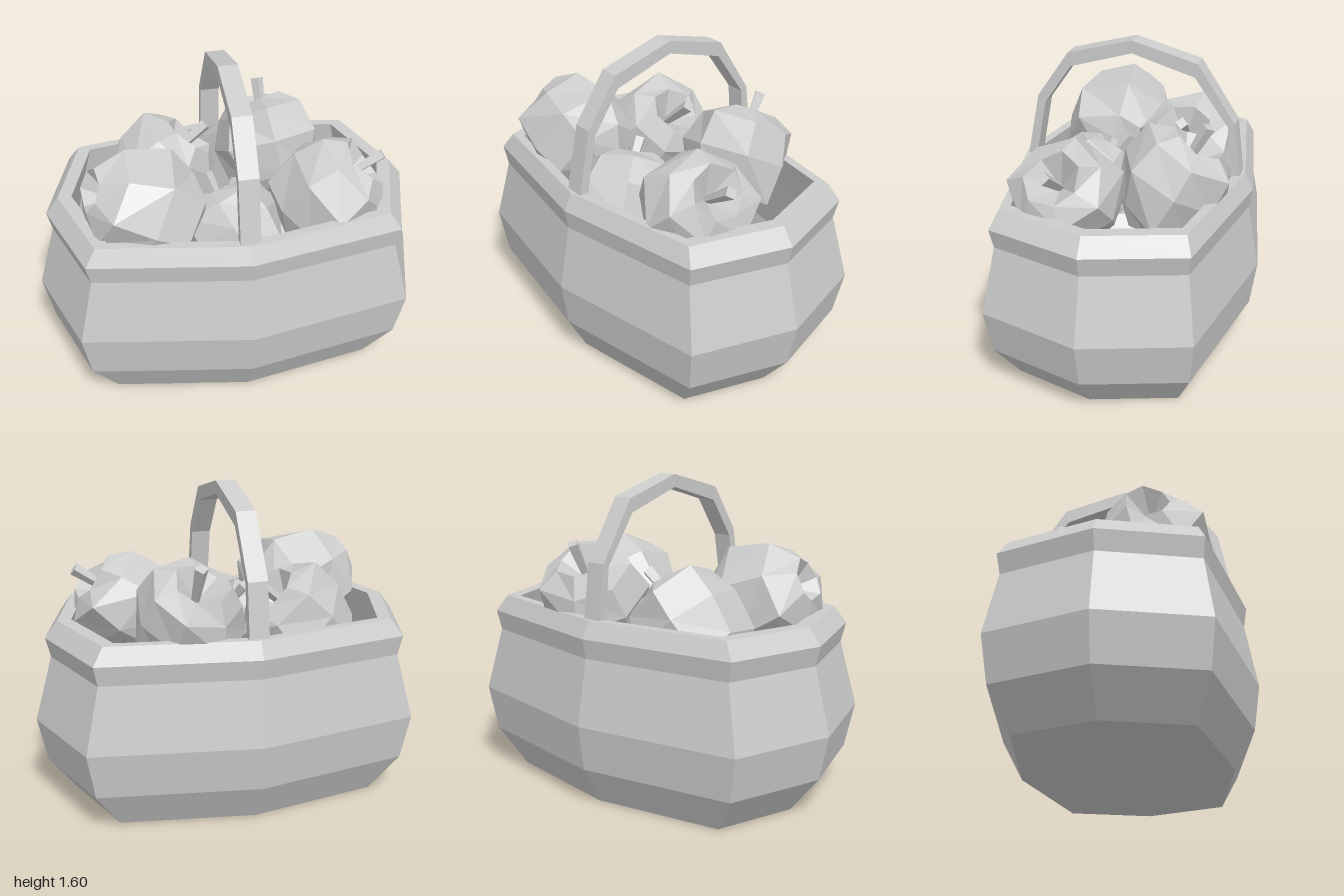
import * as THREE from 'three';

const grey = new THREE.MeshStandardMaterial({ color: 0xcccccc, flatShading: true });
const V2 = (p) => new THREE.Vector2(p[0], p[1]);

function addMesh(parent, name, geometry) {
  const mesh = new THREE.Mesh(geometry, grey);
  mesh.name = name;
  parent.add(mesh);
  return mesh;
}

// Eight-sided body: outer wall, folded rim, then an inner wall following the belly down to the floor
function basketGeometry() {
  const profile = [
    [0, 0], [0.795, 0.005], [0.95, 0.2], [1, 0.43], [0.91, 0.76], [0.935, 0.86], [0.87, 0.945],
    [0.8, 0.945], [0.85, 0.76], [0.93, 0.43], [0.88, 0.21], [0.75, 0.05], [0, 0.05],
  ];
  const geo = new THREE.LatheGeometry(profile.map(V2), 8);
  const pos = geo.attributes.position;
  // Stretch the regular octagon into the long basket outline
  for (let i = 0; i < pos.count; i++) {
    const x = pos.getX(i), z = pos.getZ(i);
    const corner = Math.abs(x) > 1e-4 && Math.abs(z) > 1e-4;
    pos.setX(i, x * (corner ? 1.181 : 1));
    pos.setZ(i, z * (corner ? 0.735 : 0.667));
  }
  geo.computeVertexNormals();
  return geo;
}

// Angular arch running front to back
function handleGeometry() {
  const outline = [
    [0.57, 0.9], [0.497, 1.27], [0.332, 1.51], [0, 1.6], [-0.332, 1.51], [-0.525, 1.215], [-0.565, 0.9],
    [-0.515, 0.9], [-0.49, 1.2], [-0.318, 1.44], [0, 1.535], [0.318, 1.44], [0.46, 1.235], [0.522, 0.9],
  ];
  const geo = new THREE.ExtrudeGeometry(new THREE.Shape(outline.map(V2)), { depth: 0.1, bevelEnabled: false });
  return geo.rotateY(-Math.PI / 2).translate(0.05, 0, 0);
}

// Chunky apple of unit radius with dimples at both ends, slightly irregular
function appleGeometry(seed) {
  const profile = [
    [0, -0.55], [0.36, -0.92], [0.8, -0.6], [1, 0.1], [0.85, 0.68], [0.48, 0.9], [0, 0.45],
  ];
  const geo = new THREE.LatheGeometry(profile.map(V2), 7);
  const pos = geo.attributes.position;
  const v = new THREE.Vector3();
  for (let i = 0; i < pos.count; i++) {
    v.fromBufferAttribute(pos, i);
    v.multiplyScalar(1 + 0.07 * Math.sin(4 * v.x + 3 * v.y + 5 * v.z + seed));
    pos.setXYZ(i, v.x, v.y, v.z);
  }
  geo.computeVertexNormals();
  return geo;
}

function makeApple({ at, axis, radius, seed }) {
  const apple = new THREE.Group();
  apple.name = 'apple';
  addMesh(apple, 'appleFlesh', appleGeometry(seed));
  const stem = addMesh(apple, 'appleStem', new THREE.CylinderGeometry(0.12, 0.07, 0.86, 4));
  stem.position.set(0.05, 0.84, 0);
  stem.rotation.z = -0.12;
  apple.position.set(...at);
  apple.scale.setScalar(radius);
  apple.quaternion.setFromUnitVectors(new THREE.Vector3(0, 1, 0), new THREE.Vector3(...axis).normalize());
  return apple;
}

export function createModel() {
  const model = new THREE.Group();
  model.name = 'appleBasket';
  addMesh(model, 'basket', basketGeometry());
  addMesh(model, 'handle', handleGeometry());

  // Heaped apples, each leaning its own way
  const fruit = new THREE.Group();
  fruit.name = 'apples';
  const apples = [
    { at: [-0.475, 0.985, 0.21], axis: [0.88, -0.46, -0.03], radius: 0.3, seed: 0 },
    { at: [0.27, 0.96, -0.265], axis: [-0.14, 0.82, -0.45], radius: 0.28, seed: 1.3 },
    { at: [0.46, 0.93, 0.19], axis: [0.7, 0.62, 0.08], radius: 0.28, seed: 2.1 },
    { at: [-0.335, 0.9, -0.21], axis: [0.64, 0.7, -0.05], radius: 0.285, seed: 3.4 },
    { at: [-0.01, 0.79, 0.25], axis: [-0.35, 0.6, -0.5], radius: 0.26, seed: 4.6 },
  ];
  apples.forEach((a) => fruit.add(makeApple(a)));
  model.add(fruit);
  return model;
}
